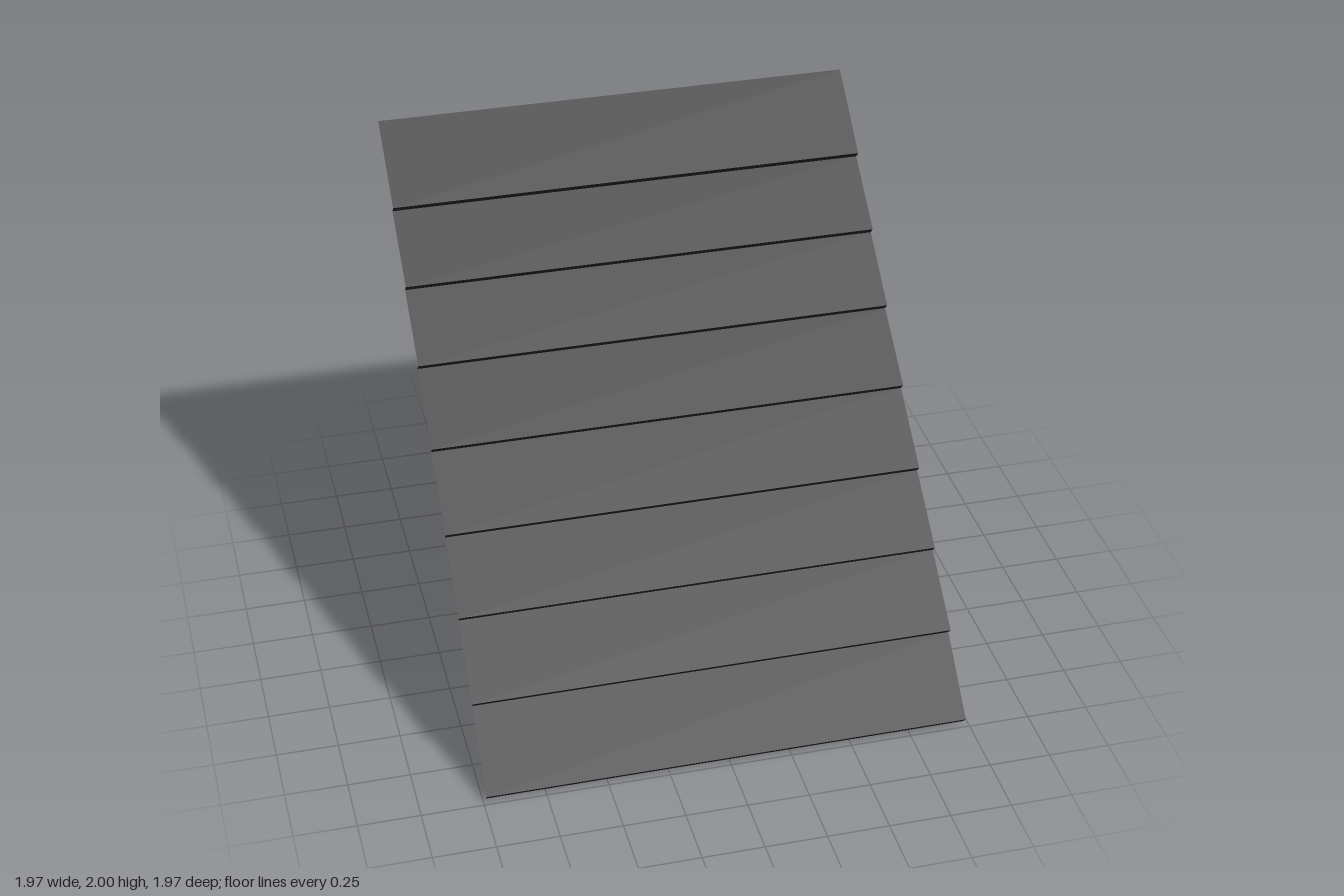
import * as THREE from 'three';

const HALF = 0.987;

// A flat strip spanning the full width between two (y, z) edges, facing the front
function strip(name, [y0, z0], [y1, z1], material) {
  const geometry = new THREE.BufferGeometry();
  geometry.setAttribute('position', new THREE.Float32BufferAttribute([
    -HALF, y0, z0, HALF, y0, z0, HALF, y1, z1, -HALF, y1, z1,
  ], 3));
  geometry.setIndex([0, 1, 2, 0, 2, 3]);
  geometry.computeVertexNormals();
  const mesh = new THREE.Mesh(geometry, material);
  mesh.name = name;
  return mesh;
}

export function createModel() {
  const group = new THREE.Group();
  group.name = 'steppedRoofPanel';
  const charcoal = new THREE.MeshStandardMaterial({ color: 0x262626, side: THREE.DoubleSide });
  charcoal.name = 'charcoal';

  // Outer lower edge of each course, from the eave to the ridge
  const edges = [
    [0.027, 0.987], [0.305, 0.75], [0.55, 0.51], [0.787, 0.27],
    [1.034, 0.02], [1.275, -0.23], [1.512, -0.46], [1.75, -0.695],
  ];
  const ridge = [2, -0.987];
  // Inner foot of the lip below an edge
  const foot = ([y, z]) => [y - 0.027, z - 0.024];

  edges.forEach((edge, i) => {
    const top = i < edges.length - 1 ? foot(edges[i + 1]) : ridge;
    group.add(strip(`lip${i + 1}`, foot(edge), edge, charcoal));
    group.add(strip(`course${i + 1}`, edge, top, charcoal));
  });
  return group;
}
